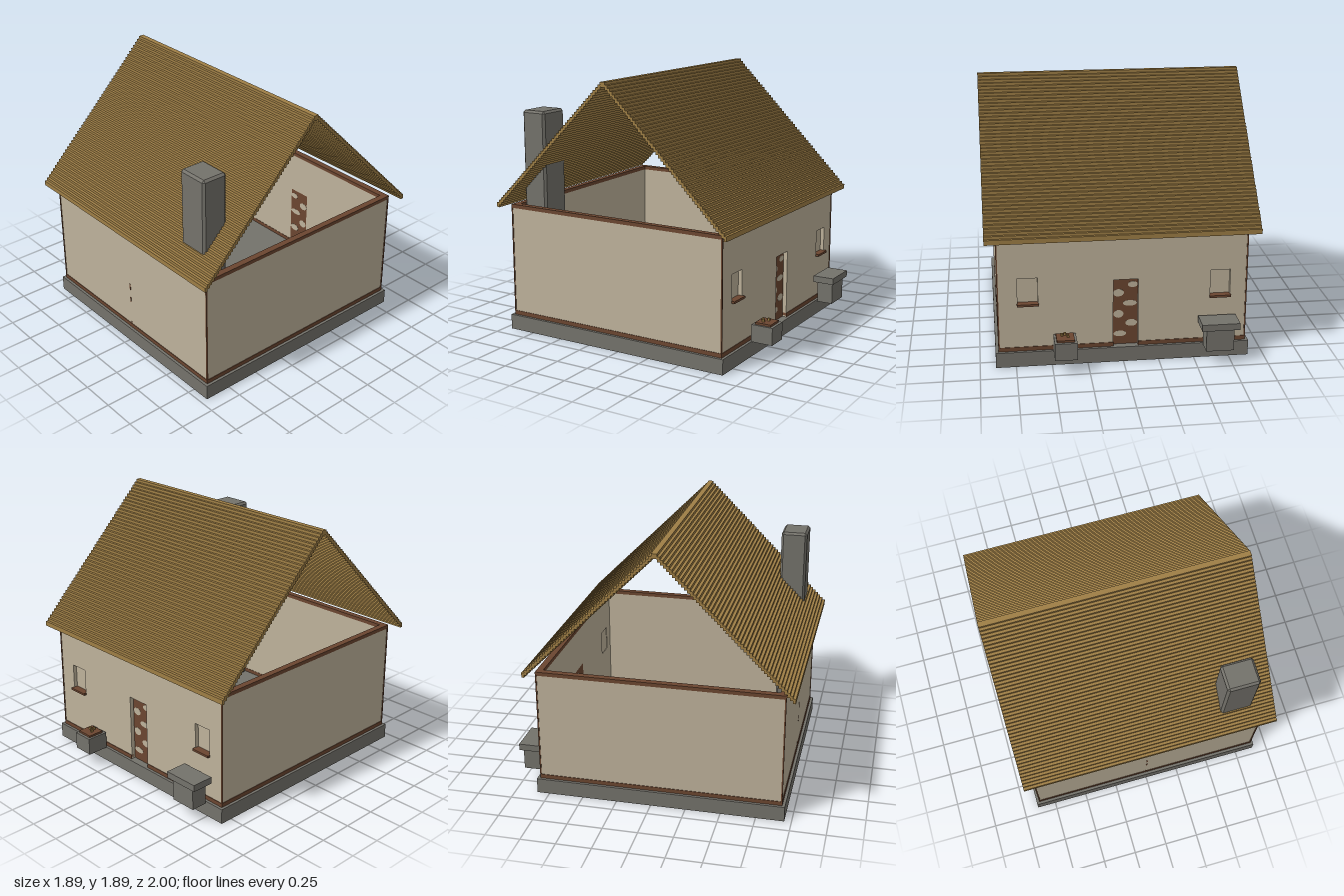
import * as THREE from 'three';
import { ConvexGeometry } from 'three/addons/geometries/ConvexGeometry.js';

const mat = (name, color) => {
  const m = new THREE.MeshStandardMaterial({ color });
  m.name = name;
  return m;
};

export function createModel() {
  const house = new THREE.Group();
  house.name = 'house';
  const plaster = mat('plaster', 0xbeb29b);
  const stone = mat('stone', 0x74726b);
  const wood = mat('wood', 0x6b4630);
  const thatch = mat('thatch', 0x9e7e45);

  const add = (name, geometry, material) => {
    const m = new THREE.Mesh(geometry, material);
    m.name = name;
    house.add(m);
    return m;
  };
  // Box given by its limits on each axis
  const box = (name, material, x0, x1, y0, y1, z0, z1) => {
    const m = add(name, new THREE.BoxGeometry(x1 - x0, y1 - y0, z1 - z0), material);
    m.position.set((x0 + x1) / 2, (y0 + y1) / 2, (z0 + z1) / 2);
    return m;
  };
  const rect = (T, x0, x1, y0, y1) => new T([
    [x0, y0], [x1, y0], [x1, y1], [x0, y1]].map(p => new THREE.Vector2(...p)));

  // Foundation
  box('foundation', stone, -0.89, 0.89, 0, 0.11, -0.84, 0.95);

  // Plain walls
  const W = 0.866, T = 0.04, Y0 = 0.11, Y1 = 0.94, ZB = -0.816, ZF = 0.926;
  box('frontWall', plaster, -W, W, Y0, Y1, ZF - T, ZF);
  for (const s of [-1, 1]) {
    const x = s * (W - T / 2);
    box('sideWall', plaster, x - T / 2, x + T / 2, Y0, Y1, ZB + T, ZF - T);
  }

  // Back wall with a doorway and two window openings
  const door = { x0: -0.105, x1: 0.07, top: 0.61 };
  const wall = new THREE.Shape([
    [-W, Y0], [door.x0, Y0], [door.x0, door.top], [door.x1, door.top],
    [door.x1, Y0], [W, Y0], [W, Y1], [-W, Y1]].map(p => new THREE.Vector2(...p)));
  const windows = [[-0.75, -0.61], [0.59, 0.73]];
  for (const [a, b] of windows) wall.holes.push(rect(THREE.Path, a, b, 0.465, 0.65));
  add('backWall', new THREE.ExtrudeGeometry(wall, { depth: T, bevelEnabled: false }), plaster)
    .position.z = ZB;

  // Window panels and sills
  for (const [a, b] of windows) {
    box('windowPanel', plaster, a, b, 0.465, 0.65, ZB + 0.028, ZB + 0.036);
    box('windowSill', wood, a - 0.005, b + 0.005, 0.45, 0.466, -0.84, ZB + 0.028);
  }

  // Door with worn patches on both faces
  const dz = ZB + 0.03;
  box('door', wood, door.x0, door.x1, Y0, door.top, dz, dz + 0.01);
  const patches = [[-0.07, 0.56, 0.035, 0.022], [0.03, 0.5, 0.038, 0.028], [-0.05, 0.42, 0.05, 0.022],
    [0.03, 0.34, 0.035, 0.03], [-0.06, 0.27, 0.042, 0.026], [0.02, 0.19, 0.045, 0.022]];
  for (const [x, y, rx, ry] of patches) {
    const p = add('doorPatch', new THREE.CylinderGeometry(1, 1, 0.012, 14).rotateX(Math.PI / 2), plaster);
    p.scale.set(rx, ry, 1);
    p.position.set(x, y, dz + 0.005);
  }

  // Timber frame: sills, top beams and corner posts
  const X = 0.87, B = -0.82, F = 0.93, D = 0.046;
  for (const [name, a, b] of [['sill', 0.11, 0.14], ['topBeam', 0.918, 0.945]]) {
    box(name, wood, -X, X, a, b, F - D, F);
    for (const s of [-1, 1]) {
      const x = s * (X - D / 2);
      box(name, wood, x - D / 2, x + D / 2, a, b, B + D, F - D);
    }
  }
  box('topBeam', wood, -X, X, 0.918, 0.945, B, B + D);
  box('sill', wood, -X, door.x0, 0.11, 0.14, B, B + D);
  box('sill', wood, door.x1, X, 0.11, 0.14, B, B + D);
  for (const s of [-1, 1]) for (const [z0, z1] of [[B, B + 0.01], [F - 0.01, F]]) {
    const x = s * (X - 0.005);
    box('cornerPost', wood, x - 0.005, x + 0.005, 0.14, 0.918, z0, z1);
  }
  // Glimpses of the middle post through the front plaster
  for (const [y, h] of [[0.147, 0.015], [0.35, 0.04], [0.46, 0.05], [0.91, 0.018]])
    box('postGlimpse', wood, -0.003, 0.008, y - h / 2, y + h / 2, ZF - 0.002, ZF + 0.002);

  // Stepped thatch roof, open at the gables
  const N = 48, step = 0.945 / N, ridge = 1.89, thick = 0.035;
  const upper = [], lower = [];
  for (let i = 0; i < N; i++) {
    const y = ridge - i * step;
    upper.push([i * step, y], [(i + 1) * step, y]);
    lower.push([i * step, y - thick], [(i + 1) * step, y - thick]);
  }
  const flip = pts => pts.map(([z, y]) => [-z, y]);
  const outline = [
    ...flip(upper).reverse(), ...upper.slice(1),
    ...lower.slice().reverse(), ...flip(lower).slice(1)];
  const roofShape = new THREE.Shape(outline.map(p => new THREE.Vector2(...p)));
  add('roof', new THREE.ExtrudeGeometry(roofShape, { depth: 1.89, bevelEnabled: false })
    .rotateY(Math.PI / 2), thatch).position.set(-0.945, 0, 0.055);

  // Chimney with chamfered edges
  const half = [0.118, 0.7575, 0.097], c = 0.016, pts = [];
  for (const sx of [-1, 1]) for (const sy of [-1, 1]) for (const sz of [-1, 1])
    for (let k = 0; k < 3; k++) {
      const [x, y, z] = half.map((h, j) => (j === k ? h : h - c));
      pts.push(new THREE.Vector3(sx * x, sy * y, sz * z));
    }
  add('chimney', new ConvexGeometry(pts), stone).position.set(0.667, 0.8675, 0.776);

  // Stone table by the back wall
  box('tableBase', stone, -0.755, -0.56, 0.11, 0.275, -0.98, -0.86);
  box('tableTop', stone, -0.79, -0.525, 0.272, 0.32, -1, -0.84);

  // Stone fire pit with timber tray and kindling
  box('firePit', stone, 0.335, 0.49, 0.11, 0.235, -1, -0.84);
  box('fireTray', wood, 0.352, 0.475, 0.235, 0.25, -0.98, -0.86);
  for (const [x, z] of [[0.395, -0.925], [0.435, -0.905], [0.415, -0.89]])
    box('kindling', thatch, x - 0.008, x + 0.008, 0.25, 0.268, z - 0.008, z + 0.008);

  return house;
}
